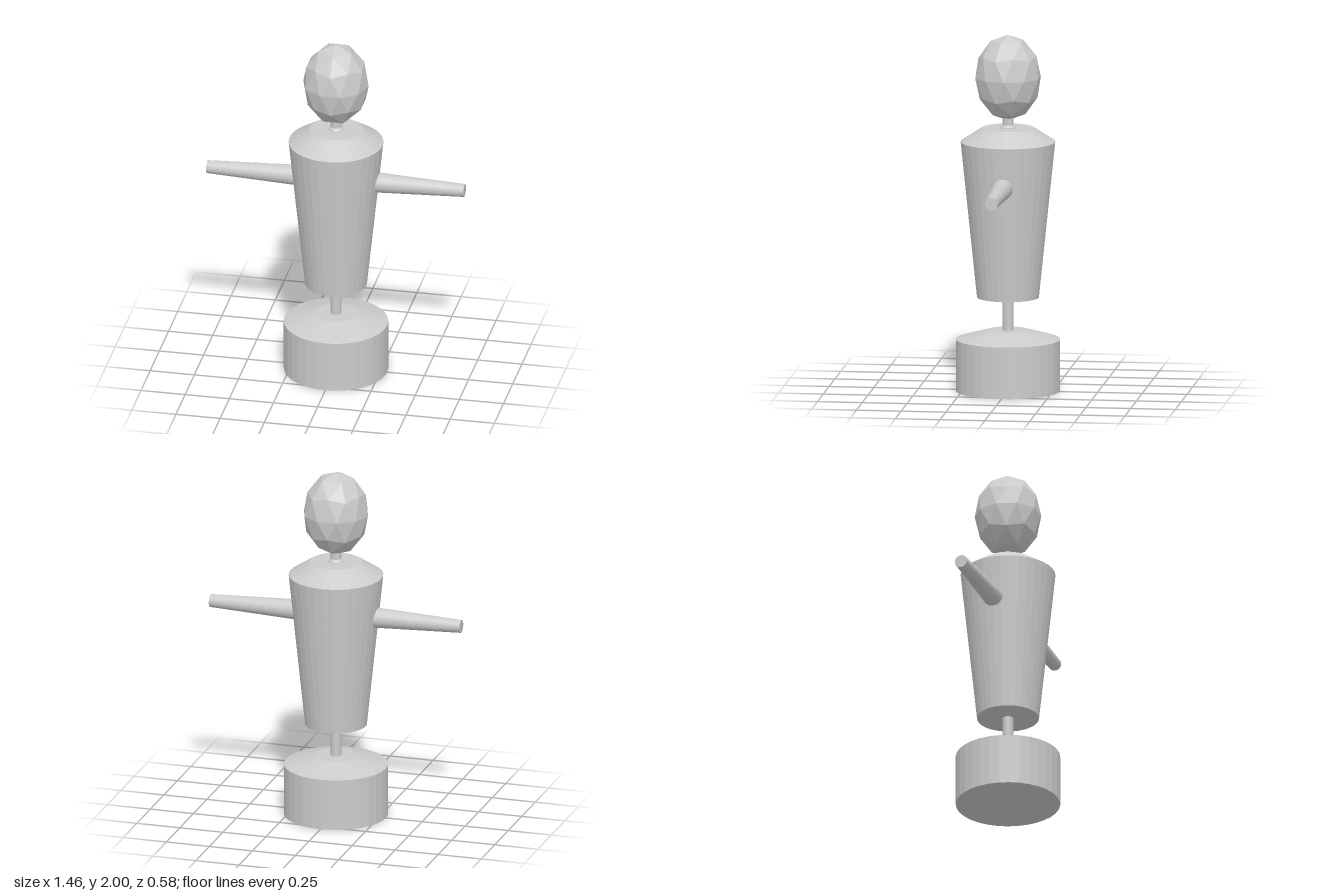
import * as THREE from 'three';

const SIDES = 32;
const material = new THREE.MeshStandardMaterial({ color: 0xcccccc, flatShading: true });

function part(name, geometry) {
  const mesh = new THREE.Mesh(geometry, material);
  mesh.name = name;
  return mesh;
}

// Solid of revolution from [radius, height] pairs, listed bottom to top
function turned(name, profile) {
  const points = profile.map(([r, y]) => new THREE.Vector2(r, y));
  return part(name, new THREE.LatheGeometry(points, SIDES));
}

export function createModel() {
  const model = new THREE.Group();
  model.name = 'trainingDummy';

  // Heavy drum base with a sloped top
  model.add(turned('base', [[0, 0], [0.29, 0], [0.29, 0.29], [0.12, 0.34], [0, 0.34]]));

  // Pole between base and torso
  model.add(turned('pole', [[0, 0.32], [0.03, 0.32], [0.03, 0.55], [0, 0.55]]));

  // Tapered torso with sloped shoulders
  model.add(turned('torso', [[0, 0.525], [0.172, 0.525], [0.263, 1.4], [0.145, 1.477], [0, 1.477]]));

  // Neck with a small flare at its foot
  model.add(turned('neck', [[0, 1.46], [0.042, 1.46], [0.042, 1.48], [0.03, 1.495], [0.03, 1.57], [0, 1.57]]));

  // Faceted egg-shaped head: a corner on top, one ridge facing forward
  const head = new THREE.IcosahedronGeometry(1, 1);
  head.rotateZ(Math.atan(2 / (1 + Math.sqrt(5))));
  head.rotateY(Math.PI / 2);
  head.scale(0.185, 0.24, 0.185);
  head.translate(0, 1.76, 0);
  model.add(part('head', head));

  // Straight tapered arms, rooted inside the torso
  for (const [name, side] of [['leftArm', 1], ['rightArm', -1]]) {
    const root = 0.17, tip = 0.728;
    const arm = part(name, new THREE.CylinderGeometry(0.036, 0.059, tip - root, SIDES));
    arm.rotation.z = -side * Math.PI / 2;
    arm.position.set(side * (root + tip) / 2, 1.17, 0);
    model.add(arm);
  }

  return model;
}
